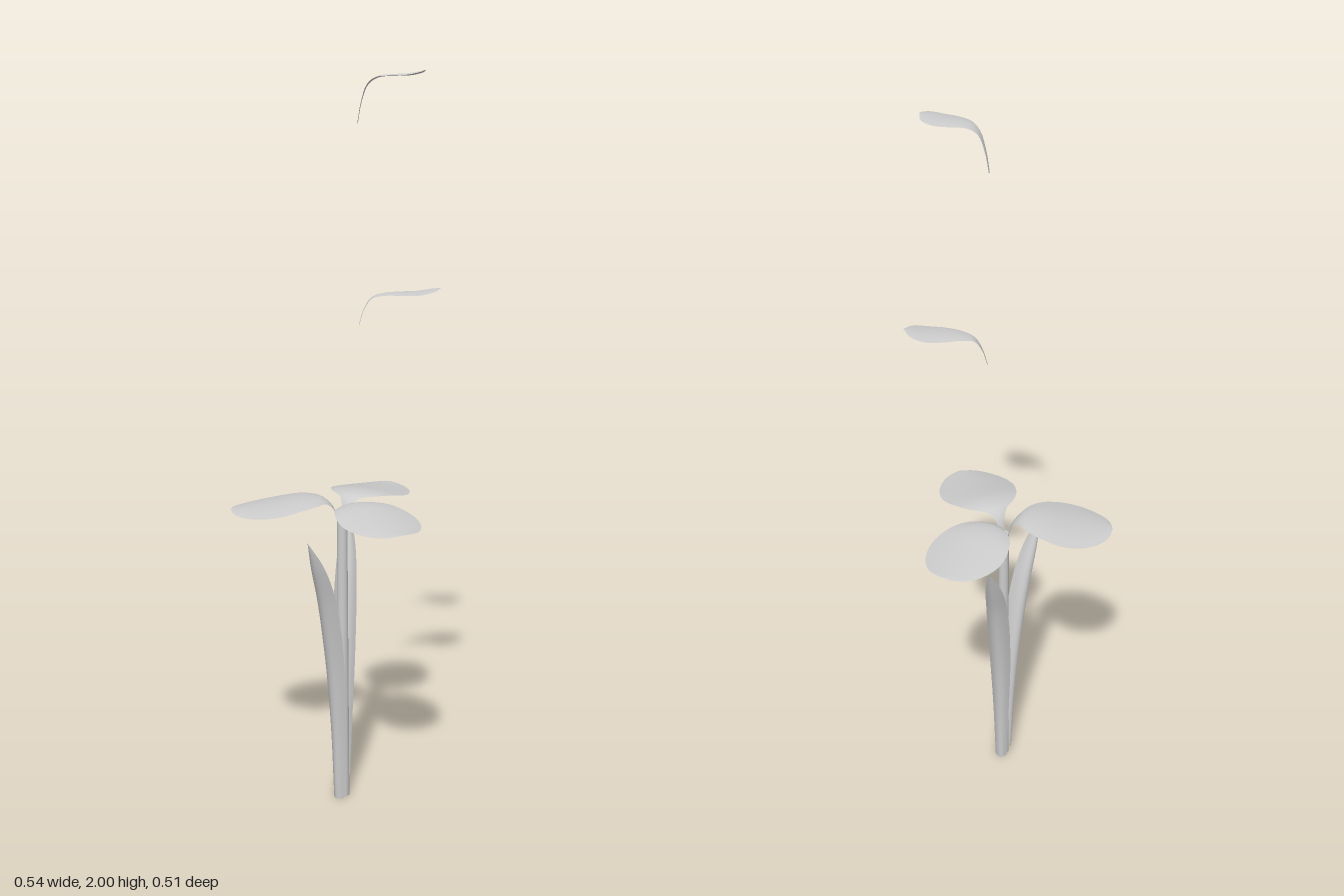
import * as THREE from 'three';

const material = new THREE.MeshStandardMaterial({ color: 0xcccccc, side: THREE.DoubleSide });
const deg = Math.PI / 180;

// Thin curved blade running out along +z. Each profile point is
// [distance, height, half width]; fold lifts the side edges along the blade normal,
// as a fraction of the half width (negative droops).
function blade(name, profile, fold, rows = 24, cols = 8) {
  const spine = new THREE.CatmullRomCurve3(profile.map(p => new THREE.Vector3(...p)));
  const positions = [], index = [];
  for (let i = 0; i <= rows; i++) {
    const u = i / rows;
    const p = spine.getPoint(u), t = spine.getTangent(u);
    const len = Math.hypot(t.x, t.y) || 1;
    const w = Math.max(p.z, 0);
    for (let j = 0; j <= cols; j++) {
      const s = (j / cols) * 2 - 1;
      const lift = fold * w * s * s;
      positions.push(s * w, p.y + (t.x / len) * lift, p.x - (t.y / len) * lift);
      if (i < rows && j < cols) {
        const a = i * (cols + 1) + j, b = a + cols + 1;
        index.push(a, b, a + 1, a + 1, b, b + 1);
      }
    }
  }
  const geometry = new THREE.BufferGeometry();
  geometry.setAttribute('position', new THREE.Float32BufferAttribute(positions, 3));
  // reversed so the upper side is the front
  geometry.setIndex(index.reverse());
  geometry.computeVertexNormals();
  const mesh = new THREE.Mesh(geometry, material);
  mesh.name = name;
  return mesh;
}

export function createModel() {
  const model = new THREE.Group();
  model.name = 'flower';

  const plant = new THREE.Group();
  plant.name = 'plant';
  plant.position.set(-0.01, 0, 0.047);
  model.add(plant);

  // Stem
  const stem = new THREE.Mesh(new THREE.CylinderGeometry(0.014, 0.019, 0.82, 16), material);
  stem.name = 'stem';
  stem.position.y = 0.41;
  plant.add(stem);

  // Three broad petals around the stem top
  const petalProfile = [
    [0.012, 0.815, 0.01], [0.022, 0.85, 0.013], [0.042, 0.872, 0.03], [0.07, 0.88, 0.066],
    [0.11, 0.88, 0.092], [0.17, 0.87, 0.108], [0.22, 0.862, 0.1], [0.262, 0.856, 0.077],
    [0.292, 0.853, 0.042], [0.302, 0.852, 0],
  ];
  [65, 185, 305].forEach((angle, i) => {
    const petal = blade(`petal${i + 1}`, petalProfile, -0.12);
    petal.rotation.y = angle * deg;
    plant.add(petal);
  });

  // Two long upright leaves, cupped towards the stem
  const leafProfile = [
    [0.033, 0, 0.017], [0.042, 0.2, 0.024], [0.063, 0.4, 0.031],
    [0.103, 0.6, 0.031], [0.14, 0.71, 0.022], [0.17, 0.795, 0],
  ];
  [0, 206].forEach((angle, i) => {
    const leaf = blade(`leaf${i + 1}`, leafProfile, 0.8);
    leaf.rotation.y = angle * deg;
    plant.add(leaf);
  });

  // Two small loose petals floating above
  const upper = blade('upperLoosePetal', [
    [0, 1.868, 0.004], [0.009, 1.92, 0.006], [0.025, 1.965, 0.012], [0.05, 1.984, 0.026],
    [0.09, 1.989, 0.041], [0.13, 1.991, 0.045], [0.16, 1.996, 0.034], [0.175, 2, 0],
  ], -0.1);
  upper.position.set(0.027, 0, 0.03);
  upper.rotation.y = 112 * deg;

  const lower = blade('lowerLoosePetal', [
    [0, 1.35, 0.004], [0.012, 1.39, 0.006], [0.032, 1.422, 0.013], [0.065, 1.433, 0.027],
    [0.11, 1.436, 0.042], [0.155, 1.437, 0.046], [0.195, 1.443, 0.034], [0.217, 1.446, 0],
  ], -0.1);
  lower.position.set(0.027, 0, 0.022);
  lower.rotation.y = 126 * deg;
  model.add(upper, lower);

  return model;
}
